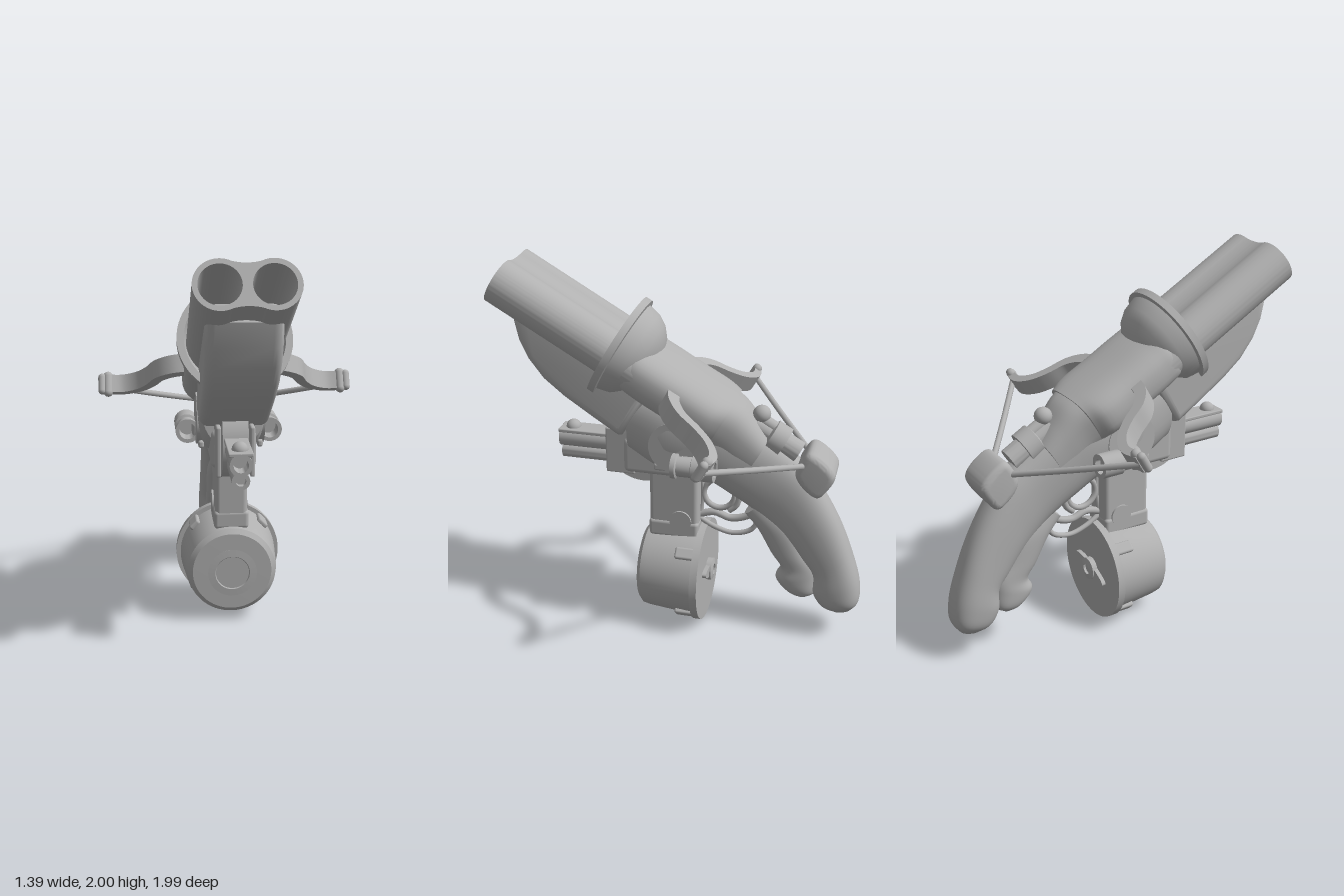
import * as THREE from 'three';
import { toCreasedNormals } from 'three/addons/utils/BufferGeometryUtils.js';
import { RoundedBoxGeometry } from 'three/addons/geometries/RoundedBoxGeometry.js';

const grey = new THREE.MeshStandardMaterial({ color: 0xb0b0b0, side: THREE.DoubleSide });
grey.name = 'plain grey';
const V = (x, y, z) => new THREE.Vector3(x, y, z);

function add(parent, name, geometry, x = 0, y = 0, z = 0) {
  const mesh = new THREE.Mesh(geometry, grey);
  mesh.name = name;
  mesh.position.set(x, y, z);
  parent.add(mesh);
  return mesh;
}

// Loft of rounded sections running backwards; station = [topZ, topY, bottomZ, bottomY, halfWidth]
function loft(stations, power = 1, steps = 6, n = 36) {
  const tops = new THREE.CatmullRomCurve3(stations.map(s => V(s[4], s[1], s[0])));
  const bottoms = new THREE.CatmullRomCurve3(stations.map(s => V(0, s[3], s[2])));
  const rows = (stations.length - 1) * steps;
  const pos = [], idx = [];
  const round = v => Math.sign(v) * Math.abs(v) ** power;
  for (let i = 0; i <= rows; i++) {
    const t = tops.getPoint(i / rows), b = bottoms.getPoint(i / rows);
    for (let j = 0; j < n; j++) {
      const a = j / n * Math.PI * 2, c = round(Math.cos(a)) / 2;
      pos.push(t.x * round(Math.sin(a)), (t.y + b.y) / 2 + (t.y - b.y) * c, (t.z + b.z) / 2 + (t.z - b.z) * c);
      if (i < rows) {
        const p = i * n + j, q = i * n + (j + 1) % n;
        idx.push(p, q, p + n, q, q + n, p + n);
      }
    }
  }
  const last = rows * n;
  for (let j = 1; j < n - 1; j++) idx.push(0, j + 1, j, last, last + j, last + j + 1);
  const g = new THREE.BufferGeometry();
  g.setAttribute('position', new THREE.Float32BufferAttribute(pos, 3));
  g.setIndex(idx);
  g.computeVertexNormals();
  return toCreasedNormals(g, 0.9);
}

// Side outline in [z, y], extruded across x with rounded edges
function sidePlate(points, halfWidth, bevel, smooth = false) {
  let pts = points.map(p => new THREE.Vector2(...p));
  if (smooth) {
    const curve = new THREE.CatmullRomCurve3(points.map(p => V(p[0], p[1], 0)), true);
    pts = curve.getPoints(60).slice(0, -1).map(p => new THREE.Vector2(p.x, p.y));
  }
  const depth = 2 * (halfWidth - bevel);
  const g = new THREE.ExtrudeGeometry(new THREE.Shape(pts), {
    depth, bevelThickness: bevel, bevelSize: bevel, bevelOffset: -bevel, bevelSegments: 6,
  });
  return toCreasedNormals(g.translate(0, 0, -depth / 2).rotateY(-Math.PI / 2), 0.7);
}

// Turned part along z; profile = [radius, z]
const turned = (profile, n = 48) =>
  toCreasedNormals(new THREE.LatheGeometry(profile.map(p => new THREE.Vector2(...p)), n).rotateX(Math.PI / 2), 0.6);
const across = (r, halfWidth) => new THREE.CylinderGeometry(r, r, halfWidth * 2, 48).rotateZ(Math.PI / 2);
const tube = (points, r) =>
  new THREE.TubeGeometry(new THREE.CatmullRomCurve3(points.map(p => V(...p))), 32, r, 10);

function buildUpper() {
  // Tilted frame: origin at the muzzle, +z along the bore
  const g = new THREE.Group();
  g.name = 'tiltedUpper';
  g.position.set(0, 1.895, 0.94);
  g.rotation.x = -Math.PI / 6;

  // Twin barrels with a softened waist
  const s = new THREE.Shape();
  const a = Math.PI * 0.36;
  s.absarc(0.118, 0, 0.12, -Math.PI + a, Math.PI - a, false);
  s.quadraticCurveTo(0, 0.09, -0.118 + 0.12 * Math.cos(a), 0.12 * Math.sin(a));
  s.absarc(-0.118, 0, 0.12, a, Math.PI * 2 - a, false);
  s.quadraticCurveTo(0, -0.09, 0.118 - 0.12 * Math.cos(a), -0.12 * Math.sin(a));
  for (const x of [-0.118, 0.118]) s.holes.push(new THREE.Path().absarc(x, 0, 0.096, 0, Math.PI * 2, true));
  const barrels = new THREE.ExtrudeGeometry(s, { depth: 0.9, bevelEnabled: false, curveSegments: 32 });
  add(g, 'twinBarrels', toCreasedNormals(barrels, 0.6), 0, 0, -0.9);

  // Hollow bell guard with a thin rim
  add(g, 'bellGuard', turned([[0.1, -0.905], [0.165, -0.878], [0.215, -0.835], [0.245, -0.785], [0.26, -0.715],
    [0.285, -0.712], [0.285, -0.675], [0.25, -0.675], [0.235, -0.73], [0.2, -0.81], [0.1, -0.86]], 64), 0, 0.01, 0);

  // Breech and the narrower neck behind it
  add(g, 'breech', loft([[-0.77, 0.1, -0.77, -0.1, 0.19], [-0.81, 0.13, -0.81, -0.13, 0.23], [-0.9, 0.135, -0.9, -0.14, 0.24],
    [-1.1, 0.135, -1.1, -0.14, 0.24], [-1.28, 0.137, -1.28, -0.14, 0.238], [-1.35, 0.137, -1.35, -0.14, 0.2]], 0.72));
  add(g, 'breechNeck', loft([[-1.3, 0.13, -1.3, -0.16, 0.2], [-1.4, 0.125, -1.4, -0.18, 0.165],
    [-1.5, 0.09, -1.5, -0.2, 0.145], [-1.6, 0.05, -1.6, -0.2, 0.13]], 0.72));

  // Firing mechanism on the neck
  add(g, 'boltBody', turned([[0, -0.13], [0.06, -0.13], [0.06, -0.04], [0.085, -0.04], [0.085, 0.04], [0.055, 0.05], [0.055, 0.14], [0, 0.14]]), 0, 0.055, -1.64);
  add(g, 'boltKnob', new THREE.SphereGeometry(0.047, 24, 16), 0, 0.125, -1.5);
  add(g, 'boltLever', new THREE.CapsuleGeometry(0.033, 0.1, 6, 16).rotateX(Math.PI / 2), 0, 0.1, -1.55);

  // Bow limbs: curved flat strips
  const path = [[0.2, -1.06], [0.29, -1.085], [0.365, -1.15], [0.41, -1.25], [0.47, -1.335], [0.56, -1.385], [0.665, -1.375]];
  const curve = new THREE.CatmullRomCurve3(path.map(p => V(p[0], p[1], 0)));
  const outer = [], inner = [];
  for (let i = 0; i <= 32; i++) {
    const p = curve.getPoint(i / 32), t = curve.getTangent(i / 32);
    const w = 0.034 - 0.014 * i / 32;
    outer.push(new THREE.Vector2(p.x - t.y * w, p.y + t.x * w));
    inner.unshift(new THREE.Vector2(p.x + t.y * w, p.y - t.x * w));
  }
  for (const side of [1, -1]) {
    const pts = [...outer, ...inner].map(p => new THREE.Vector2(p.x * side, -p.y));
    const strip = new THREE.ExtrudeGeometry(new THREE.Shape(pts), { depth: 0.1, bevelEnabled: false });
    add(g, 'bowLimb', toCreasedNormals(strip.rotateX(-Math.PI / 2), 0.6), 0, -0.038, 0);
    add(g, 'bowTip', new THREE.CapsuleGeometry(0.026, 0.09, 6, 16), side * 0.642, 0.012, -1.375);
    add(g, 'bowTipEnd', new THREE.CapsuleGeometry(0.022, 0.075, 6, 16), side * 0.674, 0.012, -1.37);
  }
  return g;
}

function buildDrum() {
  const g = new THREE.Group();
  g.name = 'drumMagazine';
  g.position.y = 0.287;
  add(g, 'drumBody', turned([[0, -0.13], [0.262, -0.13], [0.262, -0.08], [0.242, 0.15], [0.235, 0.185], [0.21, 0.207], [0, 0.21]], 64));
  add(g, 'drumBackPlate', turned([[0, -0.145], [0.285, -0.145], [0.285, -0.105], [0.25, -0.105]], 64));
  add(g, 'drumFrontBoss', turned([[0.12, 0.2], [0.13, 0.228], [0.092, 0.23], [0.088, 0.224], [0, 0.224]]));
  for (let i = 0; i < 4; i++) {
    const a = Math.PI / 4 + i * Math.PI / 2;
    const clip = add(g, 'drumClip', new RoundedBoxGeometry(0.03, 0.065, 0.13, 3, 0.012), Math.cos(a) * 0.263, Math.sin(a) * 0.263, -0.07);
    clip.rotation.z = a;
  }
  const wing = add(g, 'windingWing', new THREE.CylinderGeometry(1, 1, 0.025, 40).rotateX(Math.PI / 2), 0, 0, -0.155);
  wing.scale.set(0.15, 0.035, 1);
  wing.rotation.z = 0.25;
  add(g, 'windingHub', turned([[0, -0.168], [0.03, -0.168], [0.03, -0.182], [0.062, -0.175], [0.062, -0.14]]));
  return g;
}

export function createModel() {
  const model = new THREE.Group();
  model.name = 'compositeCrossbowPistol';
  model.add(buildUpper(), buildDrum());

  // Rounded fore-end under the barrels
  add(model, 'foreEnd', sidePlate([[0.86, 1.72], [0.835, 1.6], [0.79, 1.5], [0.71, 1.395], [0.6, 1.305], [0.45, 1.205],
    [0.31, 1.115], [0.28, 1.12], [0.14, 1.35], [0.2, 1.46], [0.45, 1.6], [0.78, 1.79]], 0.178, 0.05));

  // Receiver and stock down to the butt of the grip
  add(model, 'stock', loft([[0.25, 1.42, 0.27, 1.0, 0.16], [0.02, 1.36, 0.08, 0.9, 0.18], [-0.22, 1.28, -0.1, 0.89, 0.17],
    [-0.38, 1.2, -0.28, 0.79, 0.14], [-0.56, 1.07, -0.43, 0.69, 0.115], [-0.68, 0.97, -0.52, 0.61, 0.11],
    [-0.77, 0.84, -0.6, 0.53, 0.11], [-0.86, 0.68, -0.67, 0.44, 0.11], [-0.93, 0.51, -0.73, 0.36, 0.112],
    [-0.985, 0.33, -0.735, 0.255, 0.116], [-0.99, 0.22, -0.78, 0.18, 0.1], [-0.955, 0.16, -0.85, 0.138, 0.05]], 0.8));
  add(model, 'fingerGrip', loft([[-0.46, 0.78, -0.35, 0.68, 0.07], [-0.62, 0.65, -0.42, 0.6, 0.085], [-0.7, 0.5, -0.5, 0.46, 0.085],
    [-0.755, 0.41, -0.555, 0.375, 0.085], [-0.765, 0.34, -0.53, 0.31, 0.09], [-0.76, 0.25, -0.59, 0.24, 0.08],
    [-0.72, 0.215, -0.66, 0.2, 0.04]], 0.85));

  // Rear hump holding the string
  add(model, 'stringCatch', sidePlate([[-0.64, 1.04], [-0.69, 1.1], [-0.79, 1.04], [-0.825, 0.98], [-0.79, 0.9],
    [-0.74, 0.85], [-0.66, 0.9], [-0.62, 0.97]], 0.118, 0.035, true));
  for (const side of [1, -1]) {
    add(model, 'bowString', tube([[side * 0.655, 1.205, -0.265], [side * 0.38, 1.115, -0.46], [side * 0.09, 1.025, -0.67]], 0.016));
    // Side tubes beside the receiver
    add(model, 'sideTube', turned([[0, -0.09], [0.042, -0.09], [0.045, 0], [0.065, 0], [0.065, -0.025], [0.052, -0.03],
      [0.052, -0.105], [0.065, -0.11], [0.065, -0.225], [0.04, -0.225], [0.04, -0.1], [0, -0.1]], 32), side * 0.22, 1.01, 0);
    add(model, 'sideTubeMount', new RoundedBoxGeometry(0.09, 0.08, 0.17, 3, 0.02), side * 0.15, 1.01, -0.11);
    add(model, 'receiverRib', new RoundedBoxGeometry(0.025, 0.26, 0.16, 3, 0.01), side * 0.085, 1.0, 0.32);
    add(model, 'receiverRail', new RoundedBoxGeometry(0.03, 0.04, 0.25, 3, 0.012), side * 0.155, 0.965, -0.01);
  }

  // Round receiver housing and its side bosses
  add(model, 'receiverDisc', across(0.205, 0.065), 0, 1.03, 0.205);
  add(model, 'receiverBoss', across(0.14, 0.178), 0, 1.085, 0.0);
  add(model, 'receiverBlock', new RoundedBoxGeometry(0.23, 0.2, 0.4, 4, 0.03), 0, 0.985, 0.1);

  // Small front barrel with its under-tube and bead
  add(model, 'smallBarrel', turned([[0, 0.6], [0.036, 0.6], [0.036, 0.68], [0.055, 0.68], [0.055, 0.3]], 32), 0, 1.015, 0);
  add(model, 'smallBarrelRib', new RoundedBoxGeometry(0.12, 0.02, 0.35, 2, 0.006), 0, 1.065, 0.505);
  add(model, 'underTube', turned([[0, 0.64], [0.025, 0.64], [0.025, 0.67], [0.044, 0.67], [0.044, 0.3]], 32), 0, 0.935, 0);
  add(model, 'frontBead', new THREE.SphereGeometry(0.04, 24, 16), 0, 1.075, 0.61);

  // Magazine well with collar
  add(model, 'magazineWell', new RoundedBoxGeometry(0.17, 0.42, 0.27, 4, 0.025), 0, 0.74, 0.03);
  add(model, 'magazineCollar', new RoundedBoxGeometry(0.185, 0.1, 0.275, 4, 0.02), 0, 0.56, 0.03);
  add(model, 'collarArch', across(0.06, 0.095), 0, 0.615, -0.01);

  // Trigger ring, trigger and guard
  add(model, 'triggerRing', new THREE.TorusGeometry(0.085, 0.016, 10, 40).rotateY(Math.PI / 2), 0, 0.765, -0.205);
  add(model, 'trigger', tube([[0, 0.86, -0.24], [0, 0.78, -0.31], [0, 0.71, -0.3], [0, 0.67, -0.26]], 0.018));
  add(model, 'guardLower', tube([[0, 0.61, -0.09], [0, 0.56, -0.18], [0, 0.535, -0.28], [0, 0.565, -0.38], [0, 0.64, -0.43]], 0.014));
  add(model, 'guardUpper', tube([[0, 0.63, -0.1], [0, 0.65, -0.18], [0, 0.625, -0.27], [0, 0.65, -0.36], [0, 0.7, -0.42]], 0.02));
  add(model, 'guardFront', tube([[0, 0.88, -0.1], [0, 0.77, -0.115], [0, 0.65, -0.1]], 0.014));
  return model;
}
